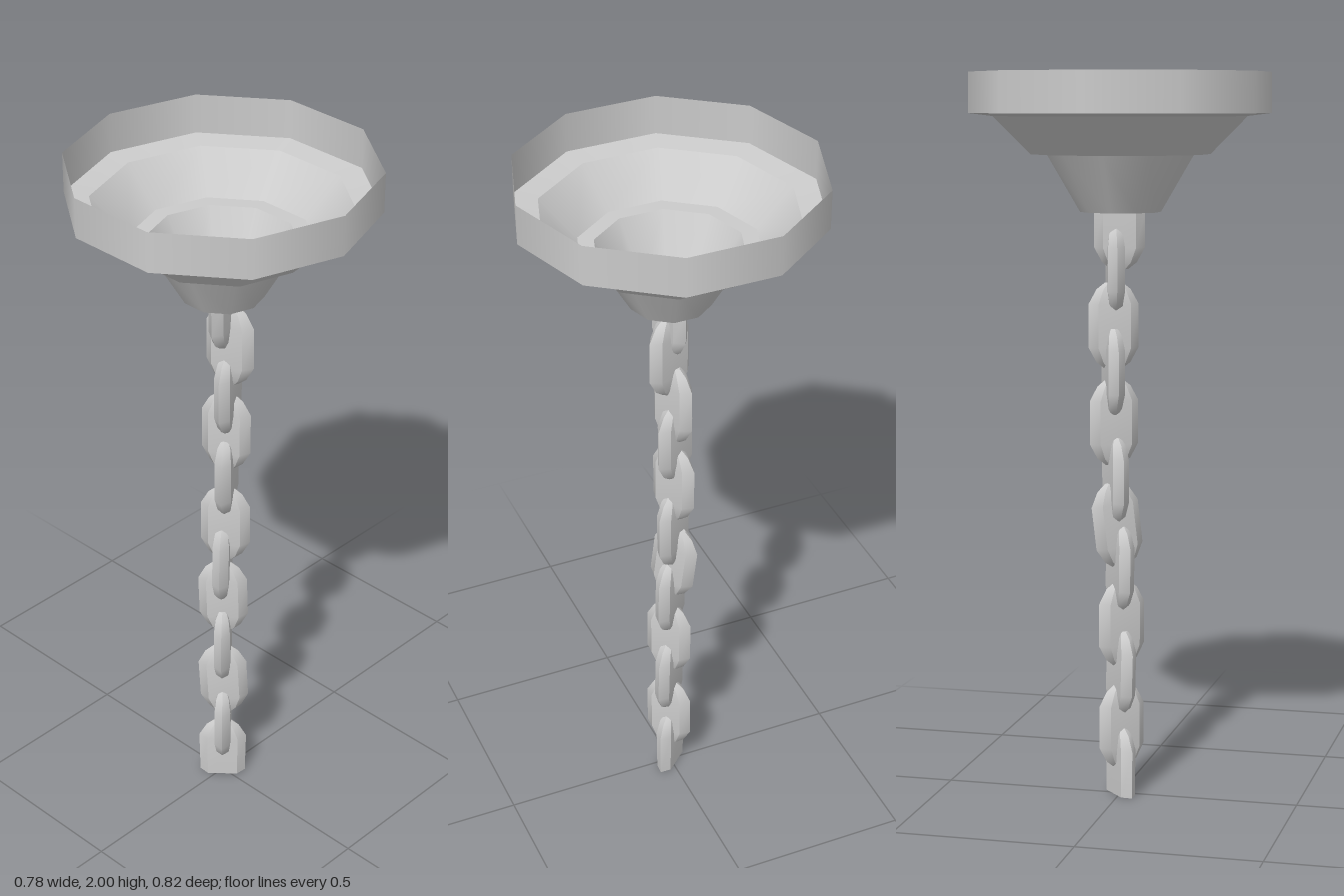
import * as THREE from 'three';
import { toCreasedNormals } from 'three/addons/utils/BufferGeometryUtils.js';

const grey = new THREE.MeshStandardMaterial({ color: 0xcccccc, side: THREE.DoubleSide });

// Chain link: stacked six-sided sections [height, half width, half thickness]
const SECTIONS = [
  [-0.118, 0.024, 0.010], [-0.1, 0.047, 0.018], [-0.06, 0.069, 0.023],
  [0.06, 0.069, 0.023], [0.1, 0.047, 0.018], [0.118, 0.024, 0.010],
];

function linkGeometry(sections) {
  const pos = [], index = [];
  for (const [y, w, t] of sections) {
    const f = w * 0.65;
    for (const [x, z] of [[w, 0], [f, t], [-f, t], [-w, 0], [-f, -t], [f, -t]]) pos.push(x, y, z);
  }
  const last = (sections.length - 1) * 6;
  for (let s = 0; s < last; s += 6) {
    for (let i = 0; i < 6; i++) {
      const j = (i + 1) % 6;
      index.push(s + i, s + 6 + i, s + j, s + j, s + 6 + i, s + 6 + j);
    }
  }
  // end caps
  for (let i = 1; i < 5; i++) {
    index.push(0, i, i + 1, last, last + i + 1, last + i);
  }
  const geo = new THREE.BufferGeometry();
  geo.setAttribute('position', new THREE.Float32BufferAttribute(pos, 3));
  geo.setIndex(index);
  return toCreasedNormals(geo, 0.6);
}

export function createModel() {
  const model = new THREE.Group();

  // Ten-sided stepped bowl, open at the top; each band has its own crease
  const bowl = new THREE.Group();
  bowl.name = 'ceilingBowl';
  const profile = [[0, 1.625], [0.11, 1.625], [0.2, 1.78], [0.244, 1.78], [0.345, 1.882], [0.41, 1.89], [0.41, 2]];
  const names = ['base', 'lowerCone', 'lowerStep', 'upperCone', 'upperStep', 'rim'];
  names.forEach((name, i) => {
    const pts = [profile[i], profile[i + 1]].map(([r, y]) => new THREE.Vector2(r, y));
    const band = new THREE.Mesh(new THREE.LatheGeometry(pts, 10), grey);
    band.name = name;
    bowl.add(band);
  });
  model.add(bowl);

  // Hanging chain: [x, y, z, sideways tilt], bottom to top, turned by quarter turns
  const chain = new THREE.Group();
  chain.name = 'chain';
  const links = [
    [0, 0.072, 0, 0], [-0.002, 0.195, 0.003, 0], [0, 0.35, 0.003, 0.05], [-0.002, 0.485, 0.003, 0],
    [0.002, 0.645, 0, 0.03], [0.008, 0.765, -0.008, -0.12], [0.014, 0.89, -0.003, 0], [0.018, 1.05, -0.003, 0],
    [0.02, 1.19, -0.006, 0], [0.02, 1.315, 0, 0], [0.018, 1.47, 0.01, 0], [0.004, 1.588, 0.003, 0],
  ];
  const whole = linkGeometry(SECTIONS);
  // the end links are cut flat at the floor and at the bowl
  const bottomCut = linkGeometry([[-0.072, 0.066, 0.022], ...SECTIONS.slice(3)]);
  const topCut = linkGeometry([...SECTIONS.slice(0, 3), [0.037, 0.069, 0.023]]);
  links.forEach(([x, y, z, tilt], i) => {
    const last = links.length - 1;
    const link = new THREE.Mesh(i === 0 ? bottomCut : i === last ? topCut : whole, grey);
    link.name = 'chainLink' + (i + 1);
    link.position.set(x, y, z);
    const drift = 42 - 28 * Math.pow(i / last, 2);
    link.rotation.set(0, THREE.MathUtils.degToRad(drift - (i % 2 ? 0 : 90)), tilt);
    chain.add(link);
  });
  model.add(chain);
  return model;
}
